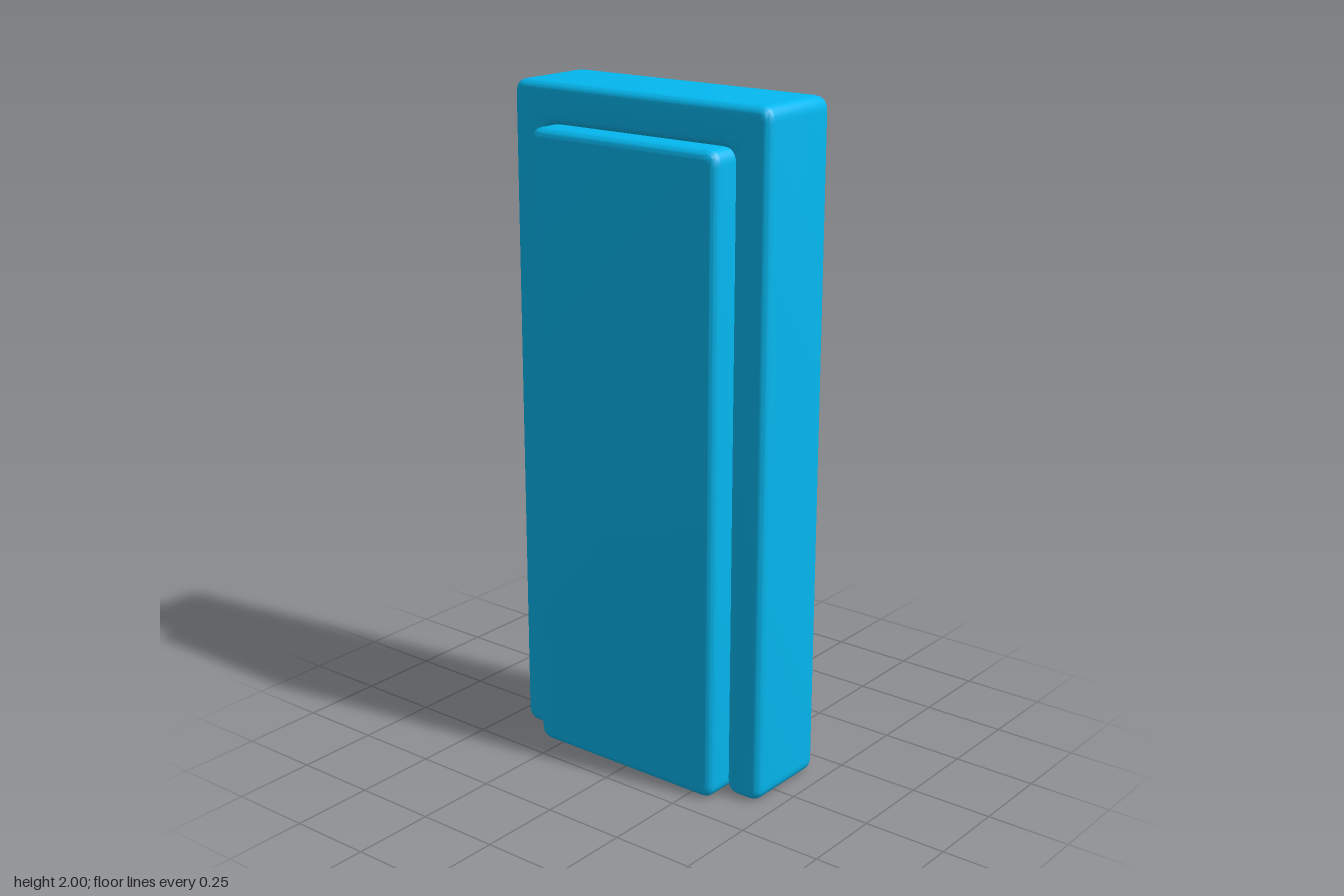
import * as THREE from 'three';
import { toCreasedNormals } from 'three/addons/utils/BufferGeometryUtils.js';

const BEVEL = 0.026;
const CORNER = 0.042; // wide enough that the bevel never folds over itself

// Closed outline through the given corners, each one softened
function roundedShape(corners) {
  const pts = corners.map(([x, y]) => new THREE.Vector2(x, y));
  const shape = new THREE.Shape();
  pts.forEach((p, i) => {
    const prev = pts[(i + pts.length - 1) % pts.length];
    const next = pts[(i + 1) % pts.length];
    const a = p.clone().add(prev.clone().sub(p).setLength(CORNER));
    const b = p.clone().add(next.clone().sub(p).setLength(CORNER));
    if (i === 0) shape.moveTo(a.x, a.y);
    else shape.lineTo(a.x, a.y);
    shape.quadraticCurveTo(p.x, p.y, b.x, b.y);
  });
  shape.closePath();
  return shape;
}

// Soft-edged slab between two z planes
function softSlab(name, corners, zBack, zFront, material) {
  const geometry = new THREE.ExtrudeGeometry(roundedShape(corners), {
    depth: zFront - zBack - 2 * BEVEL,
    bevelThickness: BEVEL,
    bevelSize: BEVEL,
    bevelOffset: -BEVEL,
    bevelSegments: 8,
    curveSegments: 6,
  });
  geometry.translate(0, 0, zBack + BEVEL);
  const mesh = new THREE.Mesh(toCreasedNormals(geometry, 0.7), material);
  mesh.name = name;
  return mesh;
}

export function createModel() {
  const group = new THREE.Group();
  group.name = 'door';
  const blue = new THREE.MeshStandardMaterial({ color: 0x04b8f0 });

  // Frame: two jambs and a lintel in one piece, open at the bottom
  const w = 0.447, inner = 0.329, lintel = 1.88;
  group.add(softSlab('doorFrame', [
    [-w, 0], [-inner, 0], [-inner, lintel], [inner, lintel],
    [inner, 0], [w, 0], [w, 2], [-w, 2],
  ], -0.177, 0.104, blue));

  // Door leaf: stands proud of the frame in front, recessed behind
  const d = 0.328;
  group.add(softSlab('doorLeaf', [
    [-d, 0], [d, 0], [d, 1.882], [-d, 1.882],
  ], -0.09, 0.175, blue));

  return group;
}
